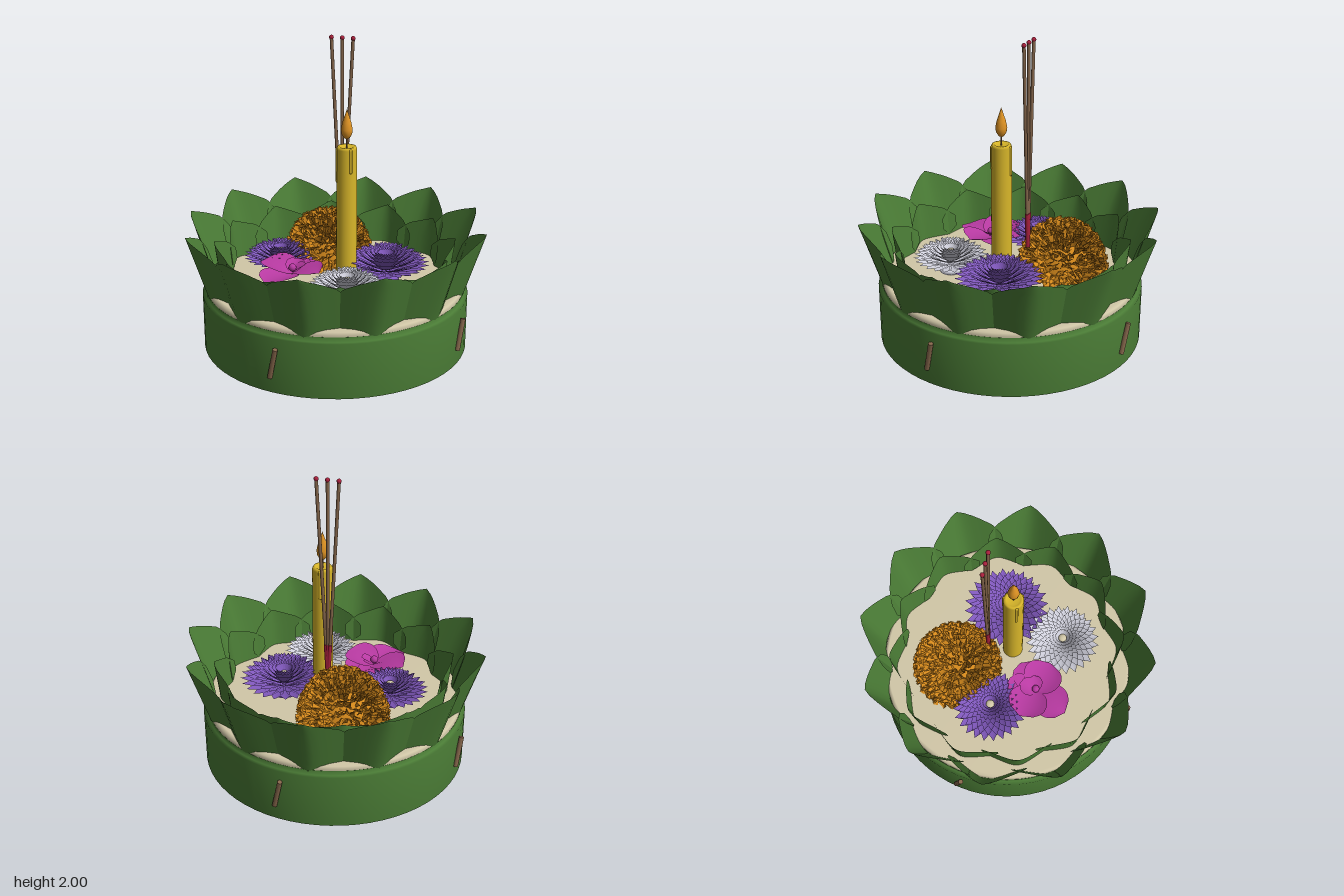
import * as THREE from 'three';
import { mergeGeometries } from 'three/addons/utils/BufferGeometryUtils.js';

const mat = (name, color) => new THREE.MeshStandardMaterial({ name, color, side: THREE.DoubleSide });

// Profile lookup: linear interpolation through [t, value] pairs
function lerpTable(table, t) {
  for (let i = 1; i < table.length; i++) {
    const [t0, a] = table[i - 1], [t1, b] = table[i];
    if (t <= t1) return a + (b - a) * (t - t0) / (t1 - t0);
  }
  return table[table.length - 1][1];
}

// Sheet whose vertices are placed by fn(u in -1..1, t in 0..1)
function sheet(nx, ny, fn) {
  const g = new THREE.PlaneGeometry(2, 1, nx, ny), p = g.attributes.position;
  for (let i = 0; i < p.count; i++) p.setXYZ(i, ...fn(p.getX(i), p.getY(i) + 0.5));
  g.computeVertexNormals();
  return g;
}

// Cylinder between two points
function rod(a, b, r, sides = 10) {
  const A = new THREE.Vector3(...a), B = new THREE.Vector3(...b), d = B.clone().sub(A);
  const g = new THREE.CylinderGeometry(r, r, d.length(), sides);
  g.applyQuaternion(new THREE.Quaternion().setFromUnitVectors(new THREE.Vector3(0, 1, 0), d.normalize()));
  const m = A.add(B).multiplyScalar(0.5);
  return g.translate(m.x, m.y, m.z);
}

const lathe = (pts, n = 48) => new THREE.LatheGeometry(pts.map(p => new THREE.Vector2(...p)), n);

export function createModel() {
  const root = new THREE.Group();
  root.name = 'floatingOffering';
  const green = mat('leafGreen', 0x4b7d36), foam = mat('stemBeige', 0xd2c8a8), brown = mat('stickBrown', 0x85664b),
    red = mat('incenseRed', 0xa8203c), wax = mat('candleYellow', 0xd8b62a), flameMat = mat('flameOrange', 0xe09424),
    orange = mat('marigoldOrange', 0xd68a1c), purple = mat('flowerPurple', 0x8058bc),
    white = mat('flowerWhite', 0xd2d2de), magenta = mat('orchidMagenta', 0xb83aa2);
  const add = (name, g, m, parent = root) => {
    const mesh = new THREE.Mesh(g, m);
    mesh.name = name;
    parent.add(mesh);
    return mesh;
  };

  // Base slice with softened rim, wrapped in a leaf band with an inner collar
  add('baseDisc', lathe([[0, 0.03], [0.825, 0.03], [0.828, 0.4], [0.822, 0.42], [0.805, 0.43], [0, 0.43]], 64), foam);
  add('leafBand', lathe([[0.826, 0], [0.853, 0], [0.856, 0.36], [0.832, 0.36], [0.832, 0.393], [0.826, 0.393], [0.826, 0]], 64), green);

  // Pins holding the band
  for (let i = 0; i < 4; i++)
    add('bandPin', rod([0.235, 0.1, 0.828], [0.285, 0.3, 0.828], 0.016).rotateY(i * Math.PI / 2), brown);

  // Two rings of pointed leaves, each folded inward along a softened spine
  function leafRing(name, { y0, y1, r0, r1, widths, offset }) {
    const leaf = sheet(12, 24, (u, t) => {
      const x = u * lerpTable(widths, t);
      return [x, y0 + (y1 - y0) * t, r0 + (r1 - r0) * t - 0.6 * (Math.hypot(x, 0.05) - 0.05)];
    });
    for (let i = 0; i < 12; i++) add(name, leaf, green).rotation.y = (i + offset) * Math.PI / 6;
  }
  leafRing('outerLeaf', {
    y0: 0.37, y1: 0.81, r0: 0.826, r1: 0.97, offset: 0,
    widths: [[0, 0.06], [0.06, 0.12], [0.14, 0.22], [0.35, 0.26], [0.6, 0.255], [0.78, 0.21], [0.9, 0.115], [1, 0]],
  });
  leafRing('innerLeaf', {
    y0: 0.4, y1: 0.69, r0: 0.74, r1: 0.775, offset: 0.5,
    widths: [[0, 0.15], [0.3, 0.23], [0.55, 0.23], [0.78, 0.16], [1, 0]],
  });

  // Candle with drips, wick and flame
  const candle = new THREE.Group();
  candle.name = 'candle';
  candle.position.set(0.083, 0, -0.017);
  root.add(candle);
  add('candleBody', lathe([[0.066, 0.42], [0.065, 1.315], [0.058, 1.33], [0.045, 1.33], [0.035, 1.32], [0, 1.32]], 28), wax, candle);
  for (const [a, len] of [[-0.55, 0.23], [1.15, 0.16], [3.6, 0.2]]) {
    const drip = new THREE.CapsuleGeometry(0.011, len - 0.022, 4, 8);
    add('waxDrip', drip.translate(Math.sin(a) * 0.06, 1.325 - len / 2, Math.cos(a) * 0.06), wax, candle);
  }
  add('wick', rod([0, 1.31, 0], [0, 1.4, 0], 0.005), brown, candle);
  add('flame', lathe([[0, 1.375], [0.018, 1.385], [0.033, 1.41], [0.037, 1.44], [0.028, 1.485], [0.013, 1.53], [0, 1.57]], 20), flameMat, candle);

  // Three incense sticks, bundled low down and fanned at the top
  for (let i = -1; i <= 1; i++) {
    const at = y => {
      const k = i * (y - 0.6) / 1.38;
      return [-0.05 + 0.063 * k, y, -0.118 - 0.031 * k];
    };
    add('incenseHandle', rod(at(0.43), at(0.86), 0.014), red);
    add('incenseStick', rod(at(0.85), at(1.98), 0.011), brown);
    add('incenseTip', new THREE.SphereGeometry(0.015, 10, 8).translate(...at(1.98)), red);
  }

  // Layered flowers: pointed petals rising steeper towards a sunken centre
  function daisy(name, x, z, R, m, layers = 8, count = 24) {
    const g = new THREE.Group();
    g.name = name;
    g.position.set(x, 0.43, z);
    root.add(g);
    const parts = [];
    for (let k = 0; k < layers; k++) {
      const L = R * (1 - k * 0.09), tilt = 0.16 + k * 0.12, w = 0.115 * L * Math.cos(tilt) + 0.004;
      for (let i = 0; i < count; i++) {
        const petal = sheet(2, 5, (u, t) => {
          const half = w * lerpTable([[0, 0.15], [0.4, 0.7], [0.7, 1], [0.85, 0.75], [1, 0]], t);
          return [u * half, t * L, -Math.abs(u) * half * 0.35 - 0.1 * L * t * t];
        });
        petal.rotateX(Math.PI / 2 - tilt).translate(0, 0.045 + k * 0.008, 0.012);
        parts.push(petal.rotateY((i + k * 0.42) * Math.PI * 2 / count));
      }
    }
    add('petals', mergeGeometries(parts), m, g);
    add('flowerBase', lathe([[0, 0], [R * 0.3, 0], [R * 0.35, 0.03], [0, 0.07]], 20), m, g);
    add('flowerCentre', new THREE.SphereGeometry(0.028, 14, 8).scale(1, 0.6, 1).translate(0, 0.14, 0), foam, g);
  }
  daisy('purpleFlowerLarge', 0.25, -0.21, 0.28, purple);
  daisy('purpleFlowerSmall', -0.35, 0.145, 0.24, purple);
  daisy('whiteFlower', 0.31, 0.225, 0.24, white);

  // Marigold: ruffled petals spread in a spiral over a dome with a dipped crown
  const marigold = new THREE.Group();
  marigold.name = 'marigold';
  marigold.position.set(-0.26, 0.445, -0.215);
  root.add(marigold);
  const ruffles = [], total = 380;
  for (let i = 0; i < total; i++) {
    const c = 1 - (i + 0.5) / total * 1.02, polar = Math.acos(Math.max(c, -0.05)), a = i * 2.39996;
    const petal = sheet(4, 2, (u, t) => [
      u * (0.018 + 0.026 * t), t * 0.078 * (1 + 0.15 * Math.cos(u * 9 + i)), 0.014 * t * Math.sin(u * 5 + i * 1.7)]);
    petal.rotateY(Math.sin(i * 12.9) * 0.9).rotateX(polar + 0.25 * Math.sin(i * 7.3));
    const dip = 0.05 * Math.max(0, 1 - polar / 0.5);
    petal.translate(0, Math.cos(polar) * 0.265 - dip, Math.sin(polar) * 0.215);
    ruffles.push(petal.rotateY(a));
  }
  const ruffled = mergeGeometries(ruffles).toNonIndexed();
  ruffled.computeVertexNormals();
  add('ruffledPetals', ruffled, orange, marigold);
  add('marigoldCore', lathe([[0.23, -0.01], [0.22, 0.1], [0.17, 0.2], [0.1, 0.25], [0, 0.22]], 24), orange, marigold);

  // Orchid: broad rounded petals, a cupped lip and a small column
  const orchid = new THREE.Group();
  orchid.name = 'orchid';
  orchid.position.set(-0.08, 0.52, 0.31);
  root.add(orchid);
  const orchidPetal = (name, angle, L, w, tilt, lift) => {
    const g = sheet(8, 10, (u, t) => {
      const half = w * Math.sqrt(Math.max(0, 1 - ((t - 0.58) / (t < 0.58 ? 0.62 : 0.42)) ** 2));
      return [u * half, t * L, -0.25 * half * u * u + 0.15 * L * t * t];
    });
    add(name, g.rotateX(Math.PI / 2 - tilt).translate(0, lift, 0).rotateY(angle), magenta, orchid);
  };
  orchidPetal('sepal', 0, 0.245, 0.12, 0.22, 0);
  orchidPetal('sepal', 2.75, 0.21, 0.1, 0.3, 0);
  orchidPetal('sepal', -2.5, 0.2, 0.1, 0.3, 0.004);
  orchidPetal('widePetal', 1.75, 0.205, 0.13, 0.36, 0.012);
  orchidPetal('widePetal', -1.4, 0.22, 0.13, 0.36, 0.012);
  orchidPetal('lip', -2.7, 0.12, 0.06, 0.6, 0.02);
  orchidPetal('lip', 2.4, 0.1, 0.05, 0.7, 0.02);
  add('orchidColumn', new THREE.SphereGeometry(0.025, 14, 10).translate(0, 0.05, 0), magenta, orchid);
  return root;
}
